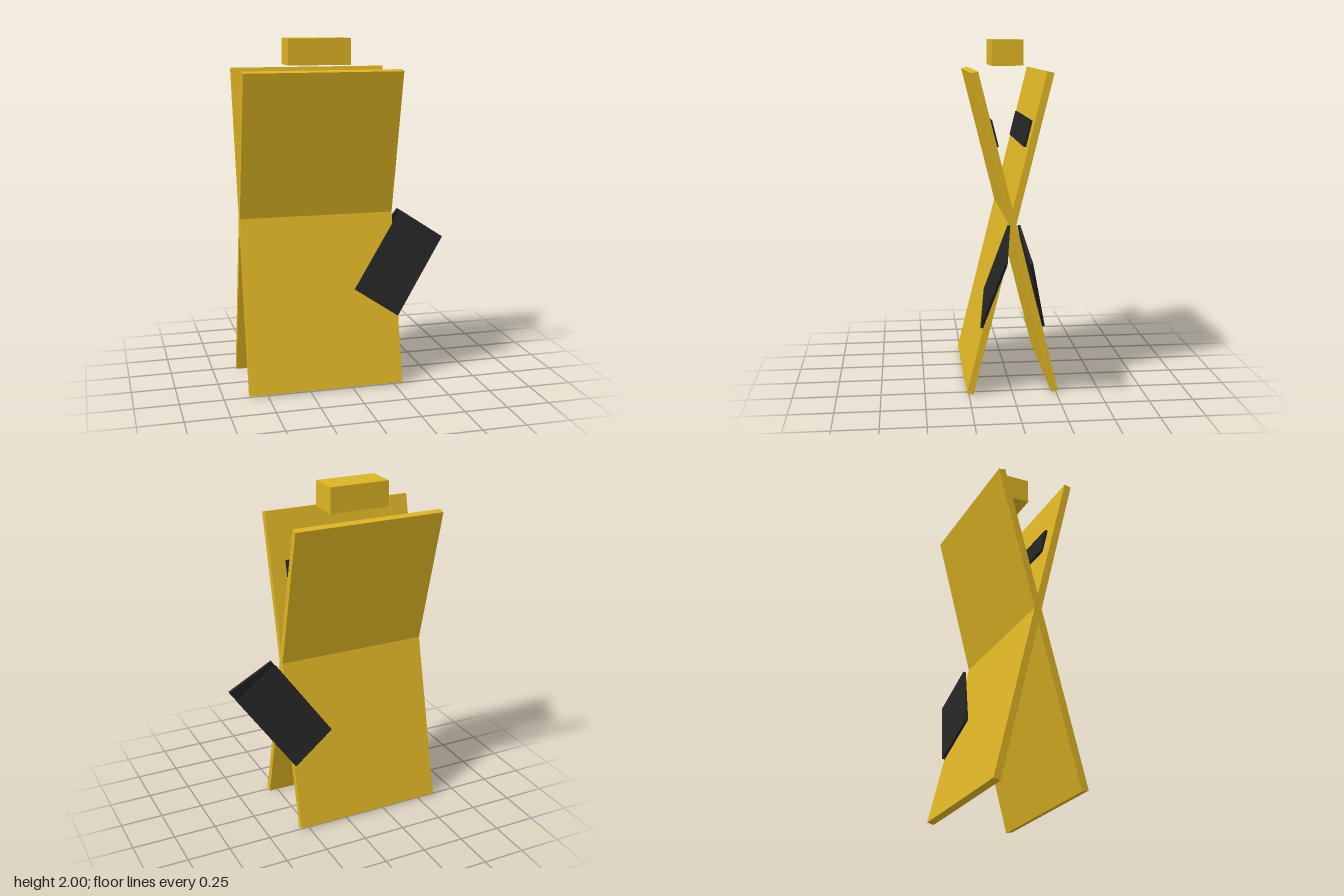
import * as THREE from 'three';

export function createModel() {
  const model = new THREE.Group();
  const gold = new THREE.MeshStandardMaterial({ color: 0xdcb324 });
  gold.name = 'gold';
  const black = new THREE.MeshStandardMaterial({ color: 0x242424 });
  black.name = 'black';

  function box(parent, name, material, size, position, turn = 0) {
    const mesh = new THREE.Mesh(new THREE.BoxGeometry(...size), material);
    mesh.name = name;
    mesh.position.set(...position);
    mesh.rotation.z = turn;
    parent.add(mesh);
  }

  // Two crossed boards, mirrored front to back, each with its black fittings
  const lean = 0.2435;
  const board = 0.04;
  const plate = 0.016;
  for (const s of [1, -1]) {
    const side = new THREE.Group();
    side.name = s > 0 ? 'frontBoard' : 'backBoard';
    side.position.set(0, 0.915, s * 0.0175);
    side.rotation.x = -s * lean;
    const face = s * (board + plate) / 2;
    box(side, 'panel', gold, [0.905, 1.875, board], [-0.1525, 0, 0]);
    box(side, 'upperStrip', black, [0.72, 0.152, plate], [-0.15, 0.577, face]);
    box(side, 'slantedPlate', black, [0.302, 0.542, plate], [0.3225, -0.237, face], -0.598);
    model.add(side);
  }

  // Block floating over the boards
  box(model, 'topBlock', gold, [0.36, 0.148, 0.18], [-0.15, 1.926, 0]);

  return model;
}
